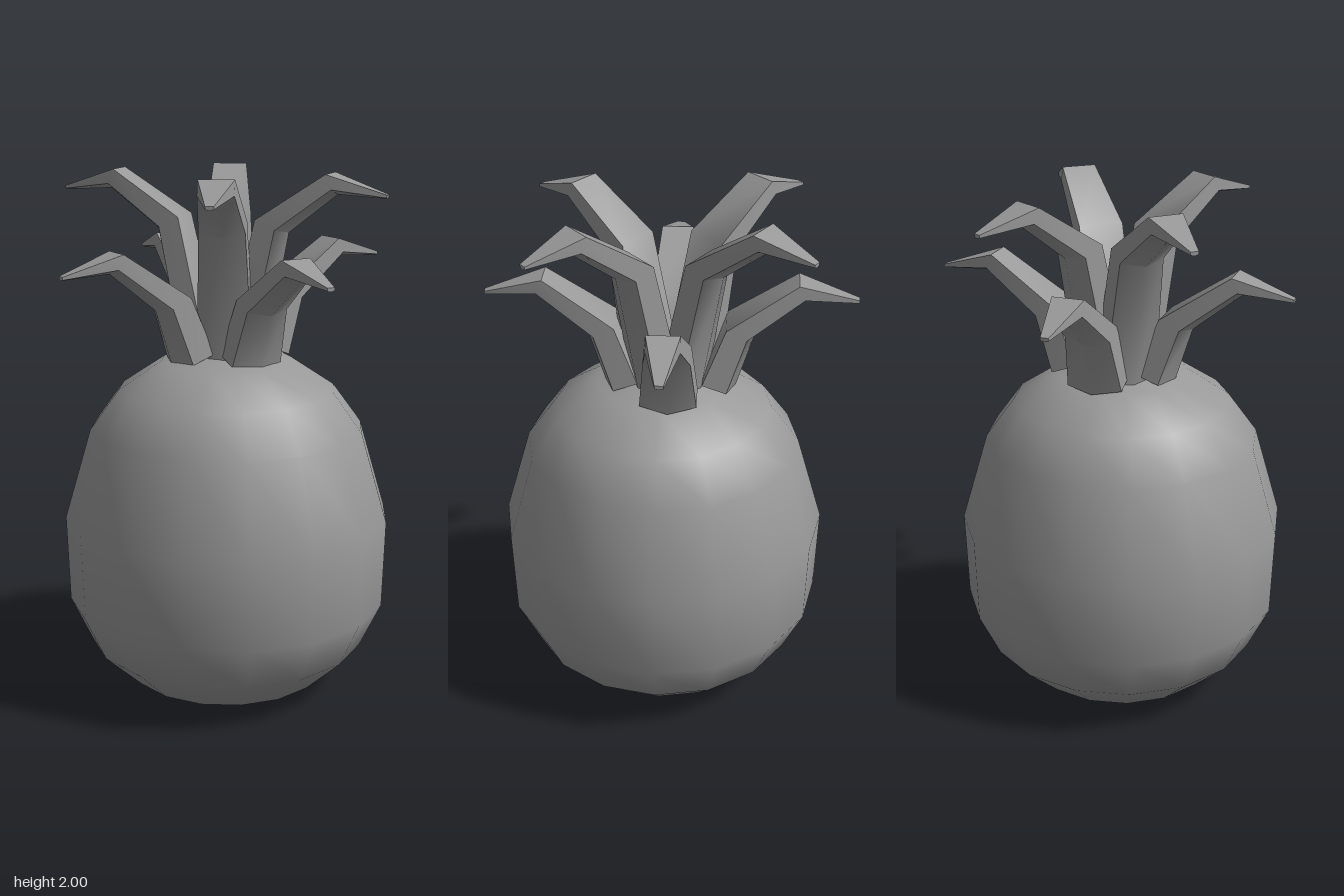
import * as THREE from 'three';
import { toCreasedNormals } from 'three/addons/utils/BufferGeometryUtils.js';

const material = new THREE.MeshStandardMaterial({ color: 0x999999 });

// A leaf runs along +x. Each station: [top r, top y, keel r, keel y, half width].
function leafGeometry(stations) {
  const positions = [], index = [], n = 5;
  for (const [tr, ty, kr, ky, w] of stations) {
    const lr = tr + (kr - tr) * 0.72, ly = ty + (ky - ty) * 0.72;
    positions.push(tr, ty, w, lr, ly, w, kr, ky, 0, lr, ly, -w, tr, ty, -w);
  }
  const last = (stations.length - 1) * n;
  for (let i = 0; i < last; i += n) {
    for (let j = 0; j < n; j++) {
      const k = (j + 1) % n;
      index.push(i + j, i + k, i + n + k, i + j, i + n + k, i + n + j);
    }
  }
  // End caps
  for (let j = 1; j < n - 1; j++) {
    index.push(0, j + 1, j, last, last + j, last + j + 1);
  }
  const geometry = new THREE.BufferGeometry();
  geometry.setAttribute('position', new THREE.Float32BufferAttribute(positions, 3));
  geometry.setIndex(index);
  // Keel and lower bend stay smooth, the knee and side edges sharp
  return toCreasedNormals(geometry, 0.84);
}

export function createModel() {
  const model = new THREE.Group();
  model.name = 'pineapple';

  const add = (name, geometry, parent = model) => {
    const mesh = new THREE.Mesh(geometry, material);
    mesh.name = name;
    parent.add(mesh);
    return mesh;
  };

  // Rounded fruit body with sixteen sides
  const profile = [
    [0, 0], [0.245, 0.005], [0.385, 0.04], [0.535, 0.18], [0.617, 0.355],
    [0.627, 0.69], [0.525, 1.035], [0.415, 1.185], [0.25, 1.295], [0, 1.34],
  ].map(([r, y]) => new THREE.Vector2(r, y));
  add('fruitBody', new THREE.LatheGeometry(profile, 16)).position.set(-0.024, 0, 0.032);

  const crown = new THREE.Group();
  crown.name = 'leafCrown';
  model.add(crown);

  // Four short outer leaves along the axes
  const outer = leafGeometry([
    [0.12, 1.335, 0.245, 1.29, 0.105],
    [0.205, 1.55, 0.31, 1.5, 0.085],
    [0.465, 1.725, 0.495, 1.65, 0.06],
    [0.685, 1.655, 0.685, 1.64, 0.015],
  ]);
  for (let i = 0; i < 4; i++) {
    add('outerLeaf', outer, crown).rotation.y = i * Math.PI / 2;
  }

  // Four tall inner leaves: [heading in degrees from +x towards +z, knee radius]
  for (const [heading, knee] of [[-58.5, 0.38], [51, 0.395], [126, 0.415], [-133.5, 0.43]]) {
    const inner = leafGeometry([
      [knee - 0.38, 1.3, knee - 0.25, 1.28, 0.105],
      [knee - 0.26, 1.83, knee - 0.155, 1.78, 0.085],
      [knee, 2.0, knee + 0.03, 1.925, 0.065],
      [knee + 0.215, 1.93, knee + 0.215, 1.915, 0.015],
    ]);
    add('innerLeaf', inner, crown).rotation.y = -THREE.MathUtils.degToRad(heading);
  }

  return model;
}
